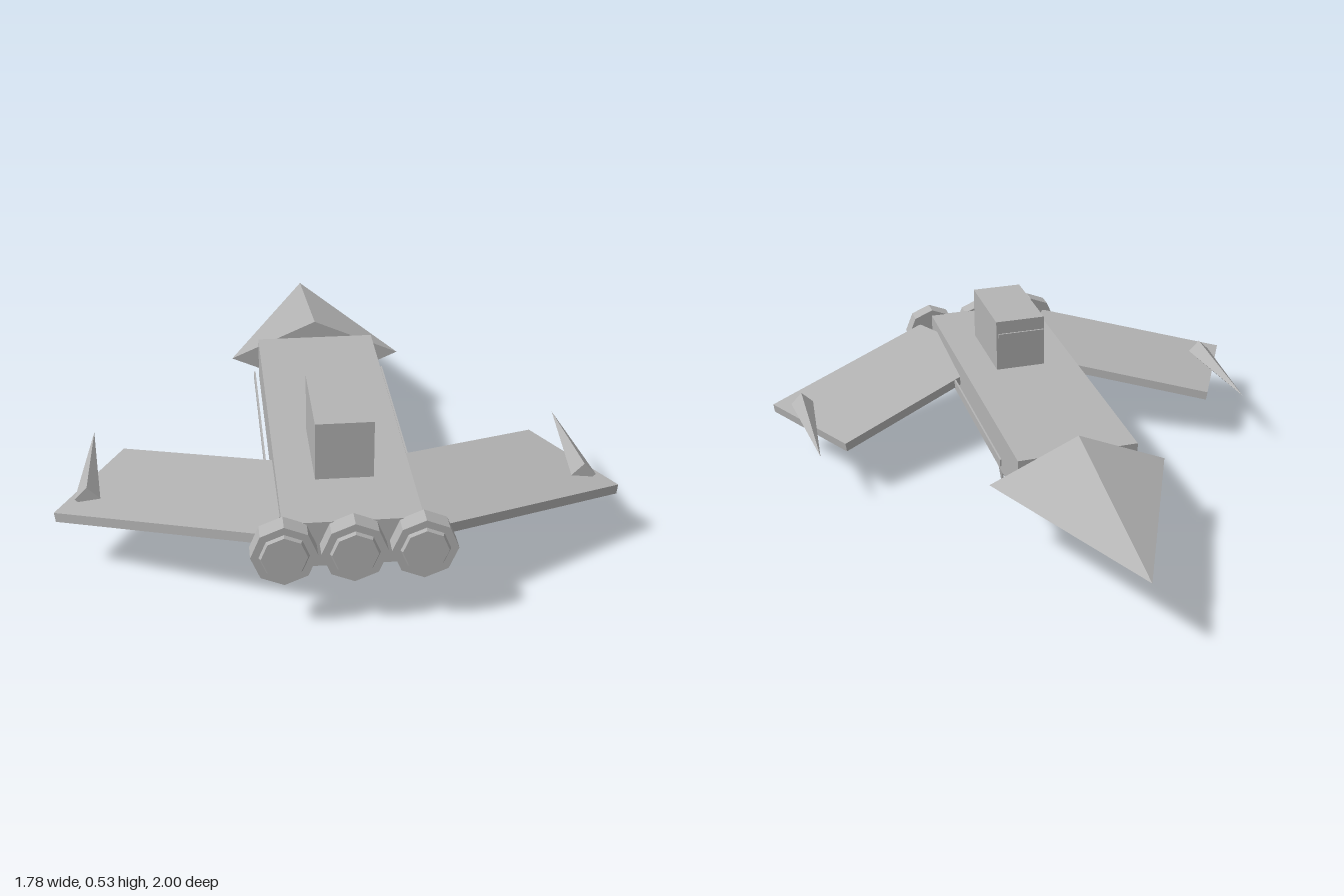
import * as THREE from 'three';

export function createModel() {
  const ship = new THREE.Group();
  ship.name = 'spaceship';
  const hullGrey = new THREE.MeshStandardMaterial({ color: 0xb4b4b4, flatShading: true });
  hullGrey.name = 'hullGrey';

  const add = (name, geometry, x, y, z) => {
    const mesh = new THREE.Mesh(geometry, hullGrey);
    mesh.name = name;
    mesh.position.set(x, y, z);
    ship.add(mesh);
    return mesh;
  };
  const box = (w, h, d) => new THREE.BoxGeometry(w, h, d);
  // four-sided spike pointing along -z
  const spike = (r, length) => new THREE.ConeGeometry(r, length, 4).rotateX(-Math.PI / 2);

  // hull, arrowhead nose and cabin
  add('hull', box(0.415, 0.15, 1.25), 0, 0.263, 0.31);
  add('nose', spike(1, 0.685).scale(0.305, 0.135, 1), 0, 0.265, -0.6575);
  add('cabin', box(0.18, 0.195, 0.325), 0, 0.43, 0.5325);
  add('cabinVisor', box(0.17, 0.028, 0.006), 0, 0.472, 0.354);

  // mirrored parts
  for (const side of [1, -1]) {
    const label = side > 0 ? 'left' : 'right';

    // swept wing drooping towards the tip
    const wing = add(label + 'Wing', box(0.727, 0.032, 0.434), side * 0.47, 0.239, 0.575);
    wing.rotation.set(0, side * 0.487, side * -0.138, 'YXZ');

    add(label + 'WingGun', spike(0.04, 0.43), side * 0.79, 0.22, 0.335);
    add(label + 'SideStripe', box(0.006, 0.025, 0.74), side * 0.229, 0.263, 0.19);

    // pointed landing spike, tip down
    add(label + 'LandingSpike', new THREE.ConeGeometry(0.029, 0.2, 4).rotateX(Math.PI), side * 0.148, 0.1, 0.11);
  }

  // three octagonal engines with raised nozzle plates
  for (const x of [-0.205, 0, 0.205]) {
    add('engine', new THREE.CylinderGeometry(0.098, 0.098, 0.06, 8).rotateX(Math.PI / 2), x, 0.263, 0.96);
    add('engineNozzle', new THREE.CylinderGeometry(0.068, 0.074, 0.01, 8).rotateX(Math.PI / 2), x, 0.263, 0.995);
  }
  return ship;
}
